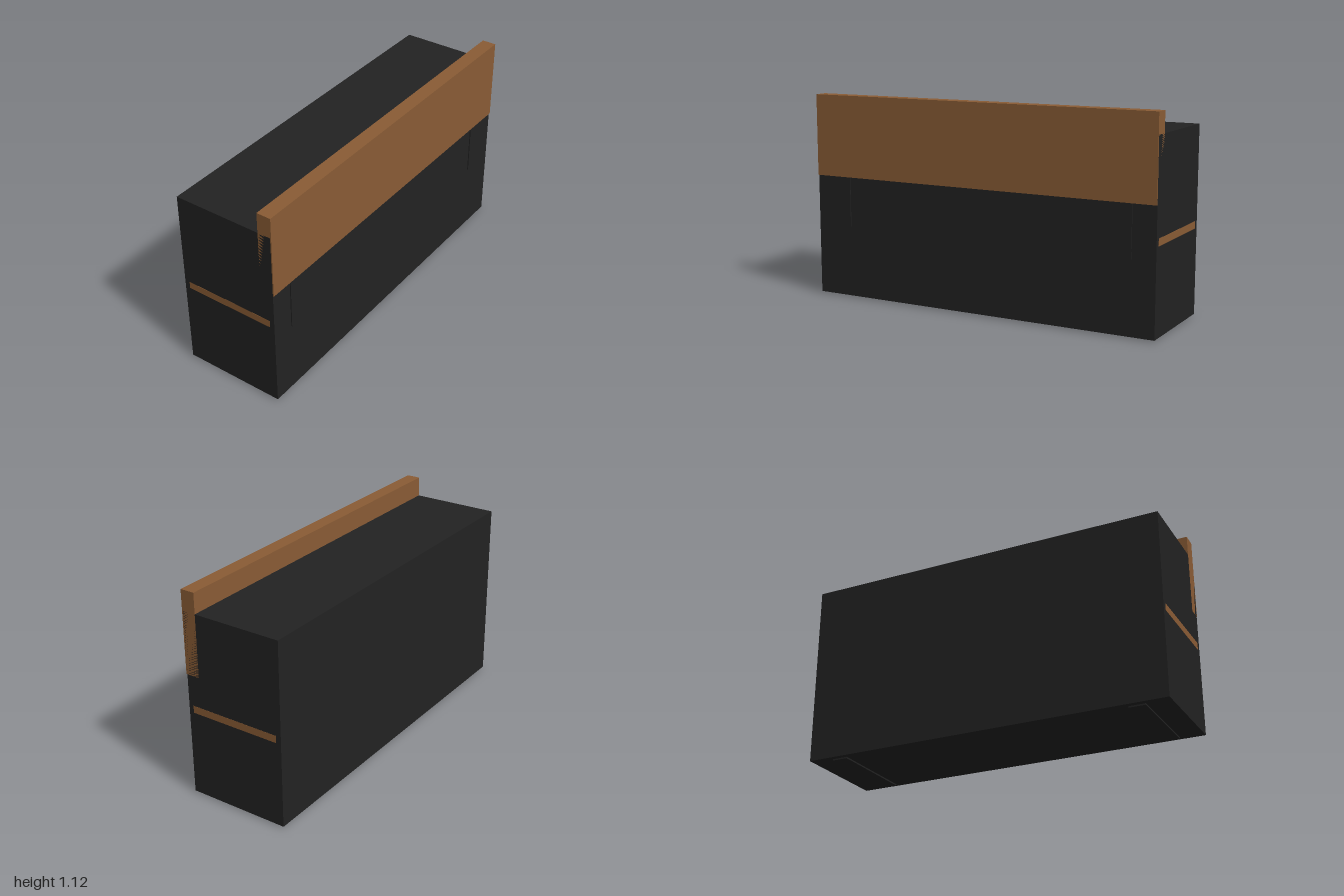
import * as THREE from 'three';

export function createModel() {
  const model = new THREE.Group();
  model.name = 'counter';
  const black = new THREE.MeshStandardMaterial({ color: 0x222222 });
  black.name = 'black panel';
  const wood = new THREE.MeshStandardMaterial({ color: 0x8a5c35 });
  wood.name = 'brown wood';

  // Box given by its lower and upper limits on each axis
  function box(name, material, [x0, x1], [y0, y1], [z0, z1]) {
    const mesh = new THREE.Mesh(new THREE.BoxGeometry(x1 - x0, y1 - y0, z1 - z0), material);
    mesh.position.set((x0 + x1) / 2, (y0 + y1) / 2, (z0 + z1) / 2);
    mesh.name = name;
    model.add(mesh);
  }

  // Cabinet and the raised wooden board along its front
  box('cabinet', black, [-1, 1], [0.008, 1.008], [-0.281, 0.276]);
  box('frontBoard', wood, [-1, 1], [0.672, 1.118], [0.204, 0.282]);

  // Shelf whose ends show flush in the cabinet sides
  box('shelf', wood, [-1.0005, 1.0005], [0.468, 0.507], [-0.253, 0.25]);

  for (const side of [-1, 1]) {
    const name = side > 0 ? 'left' : 'right';
    const span = [side * 0.83 - 0.043, side * 0.83 + 0.043];
    // Board brackets and floor runners
    box(name + 'Bracket', black, span, [0.398, 0.94], [0.2, 0.2815]);
    box(name + 'Runner', black, span, [0, 0.02], [-0.253, 0.25]);
  }
  return model;
}
